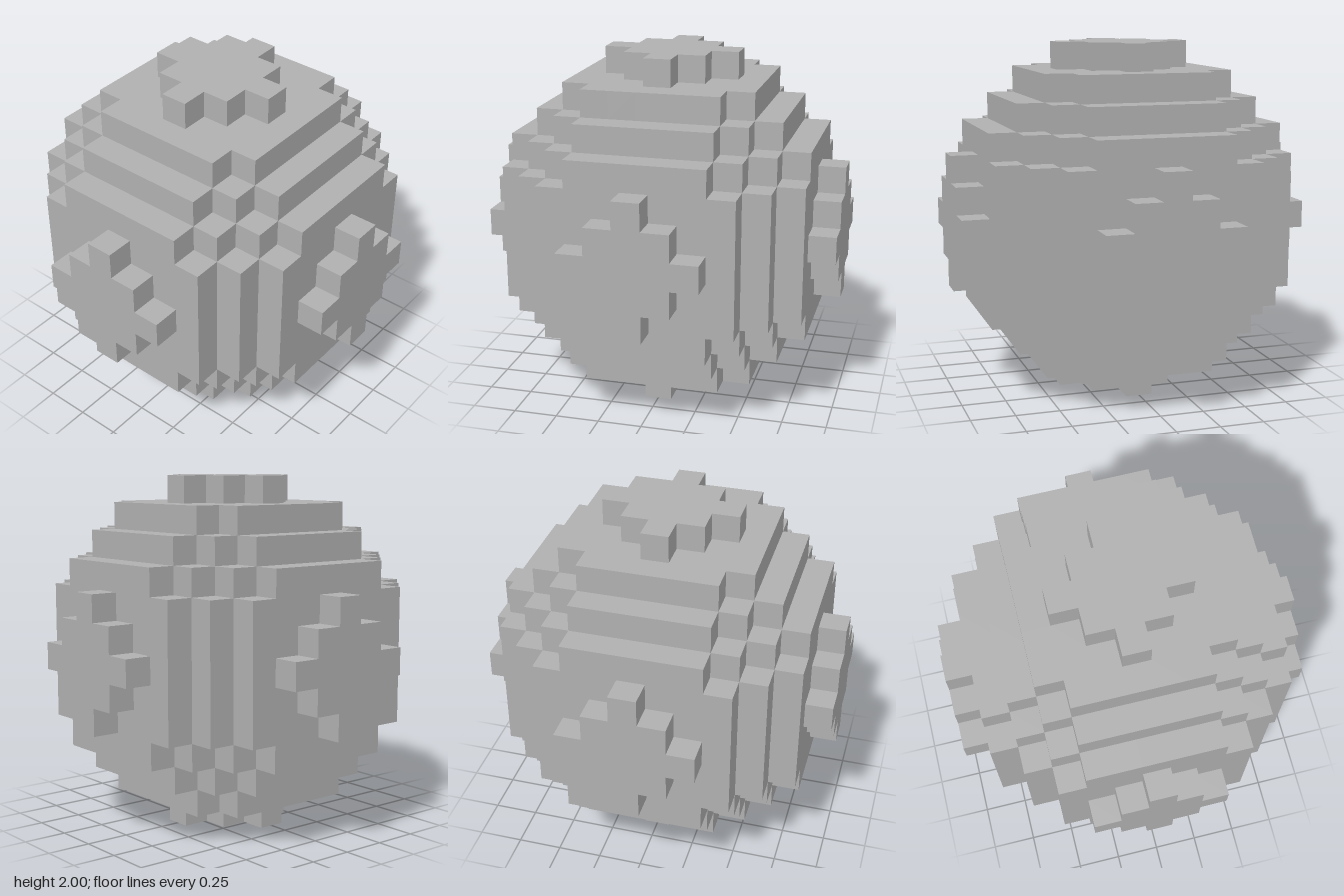
import * as THREE from 'three';
import { mergeGeometries } from 'three/addons/utils/BufferGeometryUtils.js';

const RADIUS = 6;                       // 13 blocks across
const SIZE = 2 / (2 * RADIUS + 1);      // edge of one block
const filled = (x, y, z) => x * x + y * y + z * z <= 40;

const sides = [
  ['left', 1, 0, 0], ['right', -1, 0, 0],
  ['top', 0, 1, 0], ['bottom', 0, -1, 0],
  ['front', 0, 0, 1], ['back', 0, 0, -1],
].map(([name, x, y, z]) => {
  const dir = new THREE.Vector3(x, y, z);
  const turn = new THREE.Quaternion().setFromUnitVectors(new THREE.Vector3(0, 0, 1), dir);
  const face = new THREE.PlaneGeometry(SIZE, SIZE).applyQuaternion(turn)
    .translate(x * SIZE / 2, y * SIZE / 2, z * SIZE / 2);
  return { name, dir, face };
});

export function createModel() {
  const model = new THREE.Group();
  model.name = 'blockSphere';
  const grey = new THREE.MeshStandardMaterial({ color: 0xb0b0b0 });
  grey.name = 'stone grey';

  // Outer faces of every block, sorted into the stepped body and six raised caps
  const parts = {};
  for (let x = -RADIUS; x <= RADIUS; x++) {
    for (let y = -RADIUS; y <= RADIUS; y++) {
      for (let z = -RADIUS; z <= RADIUS; z++) {
        if (!filled(x, y, z)) continue;
        const block = new THREE.Vector3(x, y, z);
        const cap = sides.find((s) => s.dir.dot(block) === RADIUS);
        const name = cap ? cap.name + 'Cap' : 'steppedBody';
        for (const { dir, face } of sides) {
          if (filled(x + dir.x, y + dir.y, z + dir.z)) continue;
          (parts[name] ??= []).push(face.clone().translate(x * SIZE, y * SIZE + 1, z * SIZE));
        }
      }
    }
  }

  for (const [name, faces] of Object.entries(parts)) {
    const mesh = new THREE.Mesh(mergeGeometries(faces), grey);
    mesh.name = name;
    model.add(mesh);
  }
  return model;
}
